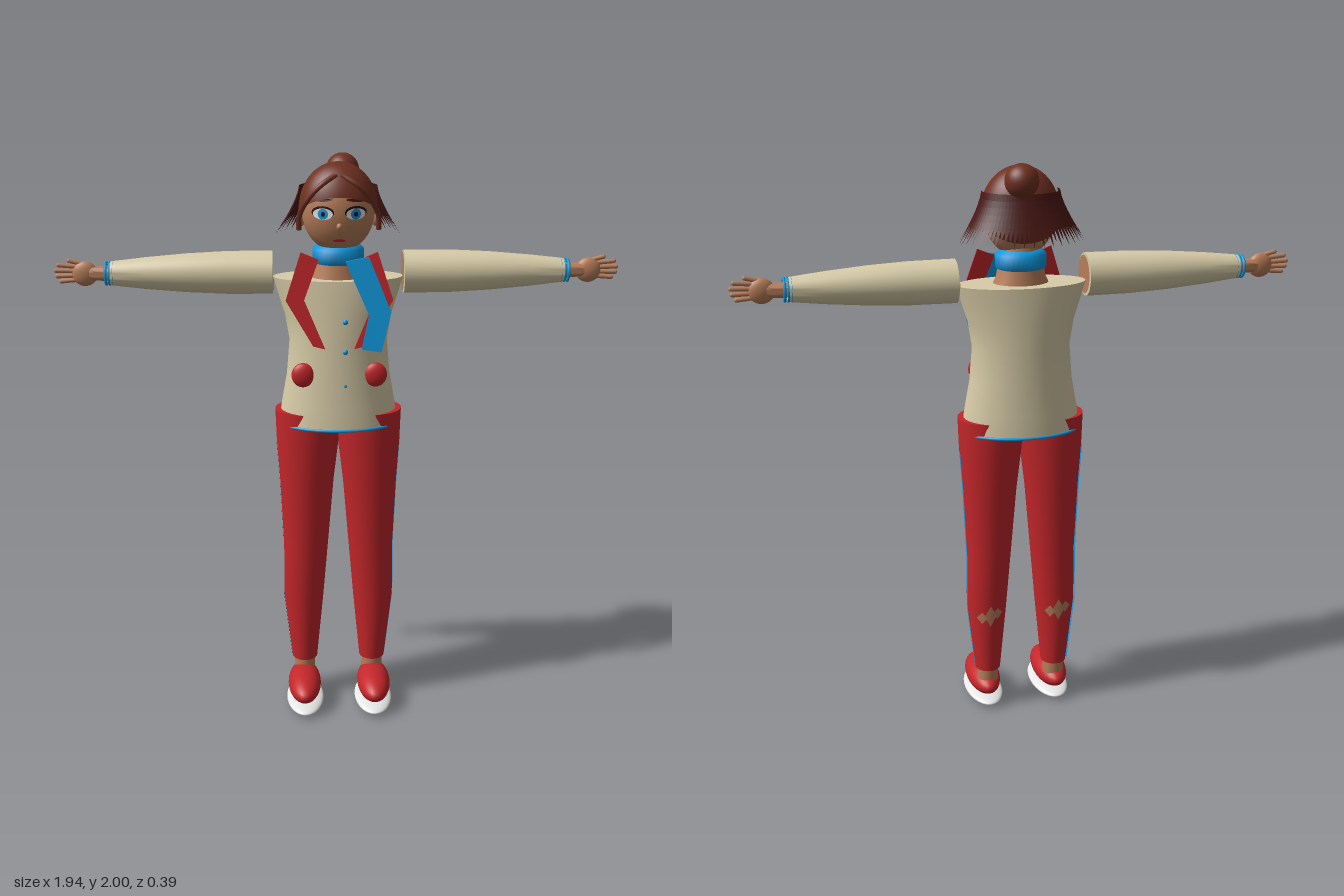
import * as THREE from 'three';
import { toCreasedNormals } from 'three/addons/utils/BufferGeometryUtils.js';

const mat = (name, color, double) => {
  const m = new THREE.MeshStandardMaterial({ color });
  m.name = name;
  if (double) m.side = THREE.DoubleSide;
  return m;
};

// Closed loft through ellipses [y, cx, cz, rx, rz]
function loft(rings, n = 32) {
  const p = [], idx = [];
  for (const [y, cx, cz, rx, rz] of rings)
    for (let j = 0; j < n; j++) {
      const a = (j / n) * Math.PI * 2;
      p.push(cx + rx * Math.cos(a), y, cz + rz * Math.sin(a));
    }
  const top = rings.length - 1, c0 = rings.length * n;
  for (const r of [rings[0], rings[top]]) p.push(r[1], r[0], r[2]);
  for (let j = 0; j < n; j++) {
    const k = (j + 1) % n;
    for (let i = 0; i < top; i++) {
      const a = i * n + j, b = i * n + k;
      idx.push(a, a + n, b, b, a + n, b + n);
    }
    idx.push(c0, j, k, c0 + 1, top * n + k, top * n + j);
  }
  const g = new THREE.BufferGeometry();
  g.setAttribute('position', new THREE.Float32BufferAttribute(p, 3));
  g.setIndex(idx);
  return toCreasedNormals(g, 0.9);
}

// Move every vertex by a rule
function bend(g, rule) {
  const p = g.attributes.position;
  for (let i = 0; i < p.count; i++) p.setXYZ(i, ...rule(p.getX(i), p.getY(i), p.getZ(i)));
  g.computeVertexNormals();
  return g;
}

export function createModel() {
  const cream = mat('cream cloth', 0xd8cca8), red = mat('red cloth', 0xc4262a);
  const blue = mat('blue cloth', 0x0f9ae0, true), skin = mat('skin', 0xb87e5a, true);
  const hair = mat('brown hair', 0x6f3020), darkHair = mat('dark hair', 0x4a1814, true);
  const white = mat('white', 0xf0f0f0, true), black = mat('black', 0x1c1414, true);
  const root = new THREE.Group();
  const add = (name, g, m, parent = root) => {
    const mesh = new THREE.Mesh(g, m);
    mesh.name = name;
    parent.add(mesh);
    return mesh;
  };
  const ball = (name, m, x, y, z, rx, ry, rz, parent) => {
    const b = add(name, new THREE.SphereGeometry(1, 28, 20), m, parent);
    b.position.set(x, y, z);
    b.scale.set(rx, ry, rz);
    return b;
  };

  // Jacket, hem trim, buttons
  add('jacket', loft([[1.07, 0, -0.043, 0.21, 0.14], [1.15, 0, -0.044, 0.198, 0.134], [1.25, 0, -0.045, 0.18, 0.126],
    [1.37, 0, -0.046, 0.17, 0.121], [1.46, 0, -0.048, 0.185, 0.117], [1.54, 0, -0.05, 0.21, 0.112], [1.59, 0, -0.052, 0.224, 0.108]], 40), cream);
  const hem = add('hemTrim', new THREE.TorusGeometry(1, 0.035, 8, 48).rotateX(Math.PI / 2), blue);
  hem.scale.set(0.209, 0.15, 0.14);
  hem.position.set(0, 1.073, -0.043);
  for (const y of [1.455, 1.35, 1.23]) ball('button', blue, 0.02, y, 0.077, 0.009, 0.009, 0.006);

  // Neck and scarf
  add('neck', loft([[1.56, 0, -0.045, 0.11, 0.08], [1.61, 0, -0.045, 0.085, 0.07], [1.72, 0, -0.045, 0.065, 0.06]]), skin);
  add('scarfWrap', loft([[1.63, 0, -0.045, 0.07, 0.06], [1.645, 0, -0.045, 0.088, 0.075], [1.688, 0, -0.045, 0.088, 0.076],
    [1.705, 0, -0.045, 0.07, 0.06]]), blue);

  // Flat cloth pieces leaning against the chest
  const cloth = (pts, base, s) => {
    const shape = new THREE.Shape(pts.map(([x, y]) => new THREE.Vector2(x * s, y)));
    return bend(new THREE.ExtrudeGeometry(shape, { depth: 0.008, bevelEnabled: false }),
      (x, y, z) => [x, y, z + base - (y - 1.36) * 0.12]);
  };
  add('scarfTail', cloth([[0.02, 1.66], [0.1, 1.675], [0.175, 1.49], [0.142, 1.355], [0.075, 1.365], [0.1, 1.48]], 0.092, 1), blue);

  // Leg profile: y, centre x, centre z, radius x, radius z
  const leg = [[0.15, 0.125, -0.042, 0.046, 0.052], [0.4, 0.127, -0.042, 0.072, 0.067], [0.6, 0.118, -0.042, 0.08, 0.074],
    [0.85, 0.113, -0.042, 0.096, 0.09], [1.0, 0.109, -0.042, 0.11, 0.102], [1.12, 0.105, -0.042, 0.118, 0.107]];
  const legAt = (y) => {
    let i = 0;
    while (i < leg.length - 2 && y > leg[i + 1][0]) i++;
    const t = (y - leg[i][0]) / (leg[i + 1][0] - leg[i][0]);
    return leg[i].map((v, k) => v + (leg[i + 1][k] - v) * t);
  };

  for (const s of [1, -1]) {
    const side = s > 0 ? 'left' : 'right';

    // Lapel and pocket
    add(side + 'Lapel', cloth([[0.13, 1.69], [0.07, 1.665], [0.12, 1.53], [0.05, 1.365], [0.09, 1.375], [0.182, 1.53]], 0.084, s), red);
    ball(side + 'Pocket', red, s * 0.125, 1.265, 0.055, 0.04, 0.043, 0.02);

    // Trouser leg, side stripe, torn patch
    add(side + 'TrouserLeg', loft(leg.map(([y, x, ...r]) => [y, s * x, ...r])), red);
    add(side + 'Stripe', bend(new THREE.PlaneGeometry(0.016, 0.85, 1, 34), (x, y) => {
      const [, cx, , rx] = legAt(y + 0.575);
      return [s * (cx + rx + 0.002), y + 0.575, -0.054 + x];
    }), blue);
    for (const [dx, dy, w, h] of [[0, 0, 0.022, 0.042], [0.03, -0.006, 0.018, 0.024], [-0.026, 0.008, 0.02, 0.022]])
      add(side + 'Patch', bend(new THREE.CircleGeometry(1, 4), (x, y) => {
        const py = 0.38 + dy + y * h, [, cx, cz, rx, rz] = legAt(py), px = dx + x * w;
        return [s * cx + px, py, cz - rz * Math.sqrt(1 - (px / rx) ** 2) - 0.004];
      }), skin);

    // Ankle, shoe, sole
    add(side + 'Ankle', loft([[0.09, s * 0.125, -0.042, 0.038, 0.038], [0.16, s * 0.125, -0.042, 0.038, 0.038]], 24), skin);
    ball(side + 'Shoe', red, s * 0.128, 0.077, 0.038, 0.06, 0.05, 0.143);
    ball(side + 'Sole', white, s * 0.126, 0.02, 0.04, 0.068, 0.02, 0.15);

    // Arm: sleeve, cuff rings, wrist, hand
    const arm = new THREE.Group();
    arm.name = side + 'Arm';
    arm.position.set(0, 1.605, -0.047);
    if (s < 0) arm.rotation.y = Math.PI;
    root.add(arm);
    const along = (rings) => loft(rings.map(([x, ry, rz = ry]) => [x, 0, 0, ry, rz])).rotateZ(-Math.PI / 2);
    add('sleeve', along([[0.225, 0.074], [0.38, 0.073], [0.52, 0.066], [0.66, 0.054], [0.785, 0.04]]), cream, arm);
    add('shoulderEnd', new THREE.CircleGeometry(0.066, 32).rotateY(-Math.PI / 2).translate(0.222, 0, 0), skin, arm);
    for (const x of [0.769, 0.781, 0.793])
      add('cuffRing', new THREE.TorusGeometry(0.037, 0.005, 8, 32).rotateY(Math.PI / 2).translate(x, 0, 0), blue, arm);
    add('wrist', along([[0.77, 0.027], [0.83, 0.024], [0.85, 0.028, 0.02]]), skin, arm);
    ball('palm', skin, 0.866, 0, 0, 0.044, 0.043, 0.021, arm);
    [[0.962, 0.03], [0.971, 0.011], [0.968, -0.008], [0.955, -0.026], [0.925, 0.045]].forEach(([x, y], i) => {
      const from = new THREE.Vector3(0.875, y * 0.75, 0), to = new THREE.Vector3(x - 0.008, y, 0);
      const f = add(i < 4 ? 'finger' : 'thumb', new THREE.CapsuleGeometry(0.008, from.distanceTo(to), 4, 10), skin, arm);
      f.position.lerpVectors(from, to, 0.5);
      f.quaternion.setFromUnitVectors(new THREE.Vector3(0, 1, 0), to.clone().sub(from).normalize());
    });
  }

  // Head and ears
  const H = { y: 1.825, z: -0.035, rx: 0.126, ry: 0.15, rz: 0.105 };
  ball('head', skin, 0, H.y, H.z, H.rx, H.ry, H.rz);
  for (const s of [1, -1]) ball('ear', skin, s * 0.126, 1.79, -0.035, 0.014, 0.026, 0.016);

  // Face details laid on the head surface
  const onFace = (name, m, cx, cy, w, h, lift, tilt = 0) =>
    add(name, bend(new THREE.CircleGeometry(1, 24), (x, y) => {
      const px = cx + x * w, py = cy + y * h + x * tilt;
      const d = 1 - (px / H.rx) ** 2 - ((py - H.y) / H.ry) ** 2;
      return [px, py, H.z + H.rz * Math.sqrt(Math.max(d, 0)) + lift];
    }), m);
  for (const s of [1, -1]) {
    onFace('lash', black, s * 0.055, 1.824, 0.037, 0.022, 0.003);
    onFace('eyeWhite', white, s * 0.055, 1.82, 0.033, 0.019, 0.005);
    onFace('iris', blue, s * 0.055, 1.82, 0.017, 0.018, 0.007);
    onFace('pupil', black, s * 0.055, 1.82, 0.007, 0.008, 0.0085);
    onFace('eyebrow', darkHair, s * 0.056, 1.864, 0.034, 0.005, 0.004, -0.003 * s);
  }
  ball('nose', skin, 0, 1.778, 0.064, 0.01, 0.012, 0.012);
  onFace('mouth', red, 0, 1.728, 0.022, 0.005, 0.004);

  // Hair cap, tilted back, with bun and front locks
  const cap = add('hairCap', new THREE.SphereGeometry(1, 40, 24, 0, Math.PI * 2, 0, 1.72).rotateX(-0.47)
    .scale(0.134, 0.156, 0.112), hair);
  cap.position.set(0, H.y, H.z);
  ball('bun', hair, 0.018, 1.942, -0.133, 0.057, 0.057, 0.057);
  for (const s of [1, -1]) {
    const path = new THREE.CatmullRomCurve3([[0.01, 1.945, 0.035], [0.06, 1.915, 0.058], [0.105, 1.865, 0.045],
      [0.132, 1.81, 0.02], [0.135, 1.76, 0.008]].map(([x, y, z]) => new THREE.Vector3(s * x, y, z)));
    add('frontLock', new THREE.TubeGeometry(path, 24, 0.009, 8), hair);
  }

  // Flared strands around the sides and back
  const strands = 44, pos = [];
  const point = (a, t) => {
    const sx = Math.sin(a), f = Math.pow(t, 1.4);
    return [sx * (0.132 + 0.078 * f), 1.9 - 0.16 * t, -0.045 - Math.cos(a) * (0.108 + 0.028 * f) - 0.02 * t];
  };
  for (let i = 0; i < strands; i++) {
    const a0 = -1.75 + (3.5 * i) / strands, a1 = a0 + 3.5 / strands, rows = 5;
    for (let r = 0; r < rows; r++) {
      const t0 = (r / rows) * 0.7, t1 = ((r + 1) / rows) * 0.7;
      const a = point(a0, t0), b = point(a1, t0), c = point(a0, t1), d = point(a1, t1);
      pos.push(...a, ...b, ...c, ...b, ...d, ...c);
    }
    pos.push(...point(a0, 0.7), ...point(a1, 0.7), ...point((a0 + a1) / 2, i % 2 ? 1.05 : 0.95));
  }
  const strandGeo = new THREE.BufferGeometry();
  strandGeo.setAttribute('position', new THREE.Float32BufferAttribute(pos, 3));
  strandGeo.computeVertexNormals();
  add('hairStrands', strandGeo, darkHair);

  return root;
}
